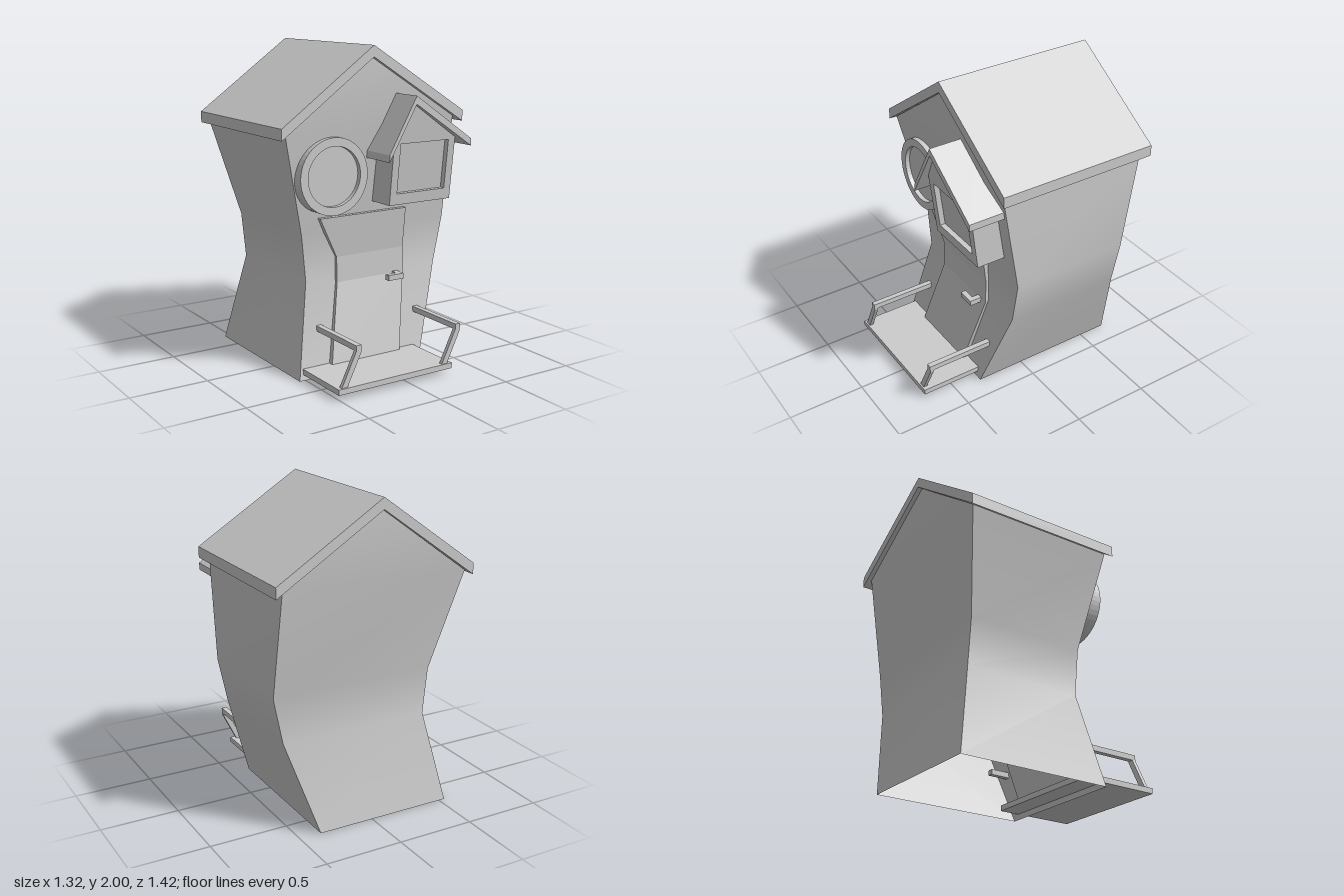
import * as THREE from 'three';

const grey = new THREE.MeshStandardMaterial({ color: 0xcccccc, side: THREE.DoubleSide });
const flatGrey = new THREE.MeshStandardMaterial({ color: 0xcccccc, side: THREE.DoubleSide, flatShading: true });

function addMesh(parent, name, geometry, material = flatGrey) {
  const mesh = new THREE.Mesh(geometry, material);
  mesh.name = name;
  parent.add(mesh);
  return mesh;
}

function addBox(parent, name, x0, x1, y0, y1, z0, z1) {
  const mesh = addMesh(parent, name, new THREE.BoxGeometry(x1 - x0, y1 - y0, z1 - z0));
  mesh.position.set((x0 + x1) / 2, (y0 + y1) / 2, (z0 + z1) / 2);
  return mesh;
}

const outline = (points) => new THREE.Shape(points.map(([x, y]) => new THREE.Vector2(x, y)));

// Straight extrusion of a front outline between two depths
function prism(shape, z0, z1, curveSegments = 12) {
  const geometry = new THREE.ExtrudeGeometry(shape, { depth: z1 - z0, bevelEnabled: false, curveSegments });
  return geometry.translate(0, 0, z0);
}

// Four walls through rectangular sections; corners stay sharp, bends within a wall are smooth.
// Levels: left height, right height, left x, right x, front z, back z
function walls(levels, apex) {
  const positions = [];
  const index = [];
  for (let side = 0; side < 4; side++) {
    const base = positions.length / 3;
    for (const [yl, yr, xl, xr, zf, zb] of levels) {
      const corners = [[xl, yl, zf], [xr, yr, zf], [xr, yr, zb], [xl, yl, zb]];
      positions.push(...corners[side], ...corners[(side + 1) % 4]);
    }
    for (let i = 0; i < levels.length - 1; i++) {
      const a = base + i * 2;
      index.push(a, a + 1, a + 3, a, a + 3, a + 2);
    }
    // Gable on the front and back walls
    if (apex && side % 2 === 0) {
      const top = base + (levels.length - 1) * 2;
      const last = levels[levels.length - 1];
      positions.push(apex[0], apex[1], side === 0 ? last[4] : last[5]);
      index.push(top, top + 1, top + 2);
    }
  }
  // Flat ends for closed slabs
  if (!apex) {
    for (const end of [0, levels.length - 1]) {
      const [yl, yr, xl, xr, zf, zb] = levels[end];
      const b = positions.length / 3;
      positions.push(xl, yl, zf, xr, yr, zf, xr, yr, zb, xl, yl, zb);
      index.push(...(end ? [b, b + 1, b + 2, b, b + 2, b + 3] : [b, b + 2, b + 1, b, b + 3, b + 2]));
    }
  }
  const geometry = new THREE.BufferGeometry();
  geometry.setAttribute('position', new THREE.Float32BufferAttribute(positions, 3));
  geometry.setIndex(index);
  geometry.computeVertexNormals();
  return geometry;
}

// Bent gable roof slab with vertical eave cuts
function roof(left, apex, right, thickness, eave, z0, z1) {
  return prism(outline([
    [left[0], left[1] - eave], [apex[0], apex[1] - thickness], [right[0], right[1] - eave],
    right, apex, left,
  ]), z0, z1);
}

export function createModel() {
  const model = new THREE.Group();
  model.name = 'crookedHouse';

  // Crooked shell, open underneath
  addMesh(model, 'houseWalls', walls([
    [0, 0, -0.54, 0.36, 0.32, -0.68],
    [0.58, 0.58, -0.425, 0.55, 0.205, -0.57],
    [0.87, 0.87, -0.455, 0.61, 0.21, -0.57],
    [1.5, 1.54, -0.62, 0.6, 0.315, -0.68],
  ], [-0.025, 1.93]), grey);
  addMesh(model, 'mainRoof', roof([-0.66, 1.545], [-0.025, 2], [0.655, 1.575], 0.07, 0.07, -0.71, 0.345));

  // Bent door and handle
  const door = new THREE.Group();
  door.name = 'door';
  model.add(door);
  addMesh(door, 'doorPanel', walls([
    [0.05, 0.05, -0.325, 0.18, 0.345, 0.23],
    [0.55, 0.55, -0.215, 0.285, 0.23, 0.12],
    [0.71, 0.71, -0.215, 0.285, 0.225, 0.12],
    [0.97, 0.97, -0.35, 0.285, 0.255, 0.14],
  ]));
  addBox(door, 'handleBar', 0.12, 0.235, 0.525, 0.56, 0.275, 0.31);
  addBox(door, 'handleStem', 0.2, 0.235, 0.525, 0.56, 0.18, 0.275);

  // Porch with two leaning railings
  const porch = new THREE.Group();
  porch.name = 'porch';
  model.add(porch);
  addBox(porch, 'porchFloor', -0.51, 0.315, 0.035, 0.07, 0.18, 0.71);
  for (const [side, shift] of [['right', 0], ['left', 0.73]]) {
    const railing = new THREE.Group();
    railing.name = side + 'Railing';
    railing.position.x = shift;
    porch.add(railing);
    addMesh(railing, 'railingPost', prism(outline([
      [-0.485, 0.07], [-0.445, 0.07], [-0.35, 0.265], [-0.35, 0.31], [-0.385, 0.31], [-0.385, 0.275],
    ]), 0.675, 0.7));
    addBox(railing, 'handrail', -0.385, -0.35, 0.275, 0.31, 0.13, 0.7);
  }

  // Round window
  const roundWindow = new THREE.Group();
  roundWindow.name = 'roundWindow';
  roundWindow.position.set(-0.3, 1.235, 0);
  model.add(roundWindow);
  const ring = new THREE.Shape().absarc(0, 0, 0.235, 0, Math.PI * 2);
  ring.holes.push(new THREE.Path().absarc(0, 0, 0.183, 0, Math.PI * 2, true));
  addMesh(roundWindow, 'roundFrame', prism(ring, 0.18, 0.34, 24), grey);
  addMesh(roundWindow, 'roundPane', new THREE.CircleGeometry(0.19, 48), grey).position.z = 0.31;

  // Dormer window, front leaning outward towards the top
  const dormer = new THREE.Group();
  dormer.name = 'dormer';
  model.add(dormer);
  const lean = new THREE.Matrix4().set(1, 0, 0, 0, 0, 1, 0, 0, 0, 0.12, 1, -0.124, 0, 0, 0, 1);
  const body = outline([[0.04, 1.035], [0.5, 1.035], [0.5, 1.43], [0.16, 1.66], [0.04, 1.45]]);
  body.holes.push(outline([[0.09, 1.105], [0.09, 1.415], [0.45, 1.415], [0.45, 1.105]]));
  addMesh(dormer, 'dormerBody', prism(body, 0.2, 0.42).applyMatrix4(lean));
  const pane = new THREE.PlaneGeometry(0.37, 0.32).translate(0.27, 1.26, 0.385).applyMatrix4(lean);
  addMesh(dormer, 'dormerPane', pane);
  addMesh(dormer, 'dormerRoof', roof([-0.035, 1.365], [0.16, 1.705], [0.58, 1.42], 0.05, 0.045, 0.2, 0.525));

  return model;
}
